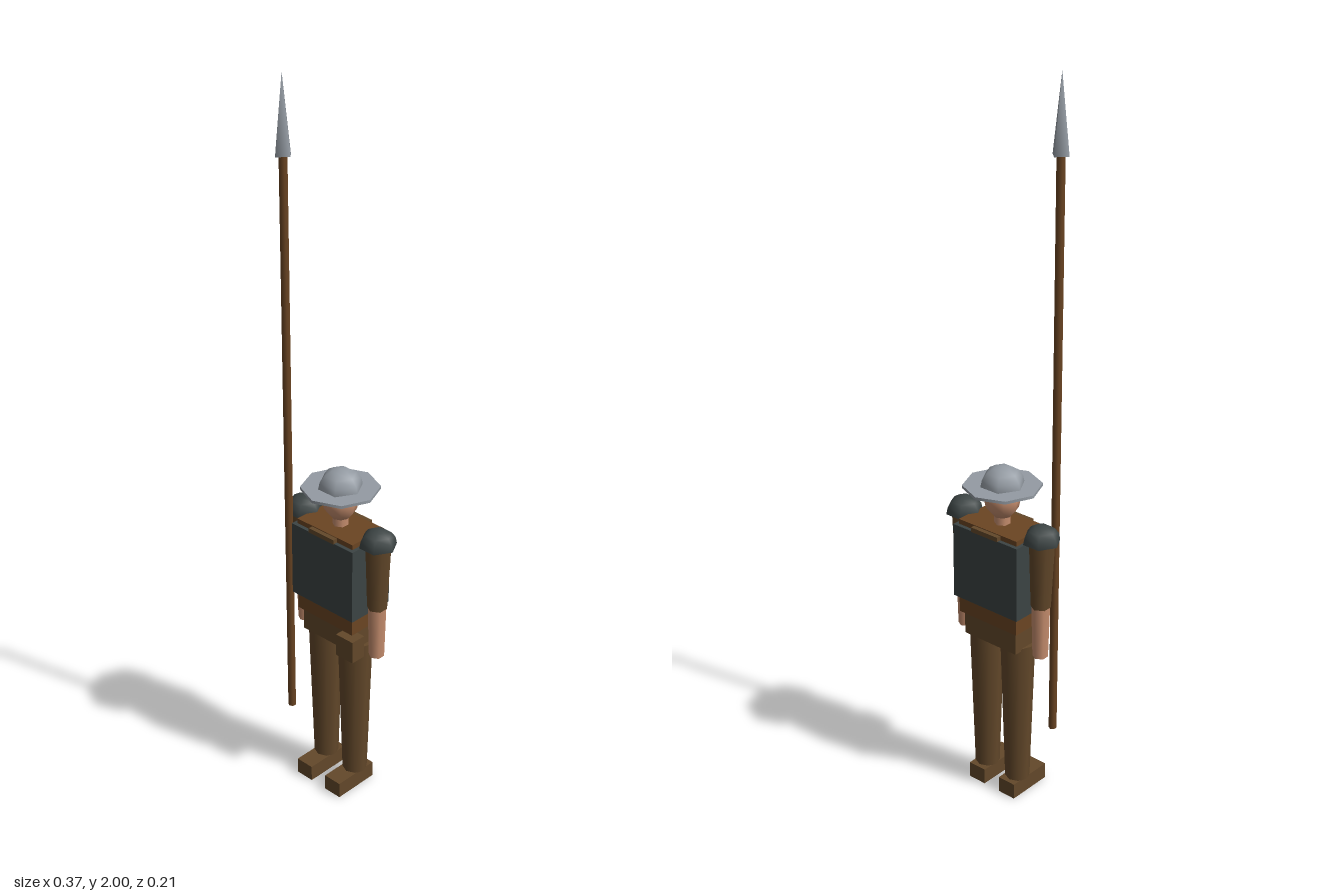
import * as THREE from 'three';

const material = (name, color, side = THREE.FrontSide) => {
  const m = new THREE.MeshStandardMaterial({ color, side });
  m.name = name;
  return m;
};

export function createModel() {
  const model = new THREE.Group();
  model.name = 'spearGuard';

  const leather = material('leather brown', 0x63482a);
  const tunic = material('tunic brown', 0x6b4523);
  const skin = material('skin', 0xc99070);
  const steel = material('steel grey', 0x949ba3, THREE.DoubleSide);
  const armour = material('dark armour', 0x3c4444, THREE.DoubleSide);

  const add = (name, geometry, mat, x, y, z) => {
    const mesh = new THREE.Mesh(geometry, mat);
    mesh.name = name;
    mesh.position.set(x, y, z);
    model.add(mesh);
    return mesh;
  };
  // Box given by its centre in x and z and its bottom and top heights
  const box = (name, mat, w, d, y0, y1, x = 0, z = 0) =>
    add(name, new THREE.BoxGeometry(w, y1 - y0, d), mat, x, (y0 + y1) / 2, z);
  // Upright tapered cylinder between two heights
  const limb = (name, mat, rTop, rBottom, y0, y1, sides, x = 0, z = 0) =>
    add(name, new THREE.CylinderGeometry(rTop, rBottom, y1 - y0, sides), mat, x, (y0 + y1) / 2, z);
  // Six-sided half ball standing on height y
  const dome = (name, mat, r, height, x, y) => {
    const g = new THREE.SphereGeometry(r, 6, 4, 0, Math.PI * 2, 0, Math.PI / 2);
    add(name, g, mat, x, y, 0).scale.y = height / r;
  };

  // Body
  box('torso', tunic, 0.2, 0.12, 0.535, 0.812);
  box('breastplate', armour, 0.22, 0.142, 0.585, 0.798);
  box('collarStrap', leather, 0.09, 0.146, 0.797, 0.81);
  box('hips', leather, 0.18, 0.1, 0.468, 0.535);
  box('beltPouch', leather, 0.06, 0.045, 0.46, 0.525, 0.085, 0.052);

  // Head and brimmed helmet
  limb('neck', skin, 0.022, 0.022, 0.8, 0.85, 6);
  add('head', new THREE.SphereGeometry(0.05, 8, 6), skin, 0, 0.887, 0).scale.y = 1.2;
  limb('helmetBrim', steel, 0.105, 0.105, 0.915, 0.923, 8);
  dome('helmetDome', steel, 0.061, 0.055, 0, 0.92);

  // Arms, shoulder guards, legs and boots, mirrored
  for (const [side, s] of [['left', 1], ['right', -1]]) {
    dome(side + 'ShoulderGuard', armour, 0.051, 0.048, s * 0.134, 0.8);
    limb(side + 'Sleeve', leather, 0.036, 0.027, 0.61, 0.805, 6, s * 0.133);
    limb(side + 'Forearm', skin, 0.025, 0.021, 0.46, 0.61, 6, s * 0.133);
    limb(side + 'Leg', leather, 0.047, 0.034, 0.045, 0.475, 8, s * 0.055);
    box(side + 'Boot', leather, 0.055, 0.135, 0, 0.046, s * 0.054, 0.022);
  }

  // Spear
  limb('spearShaft', tunic, 0.011, 0.011, 0.2, 1.8, 6, -0.127, 0.064);
  add('spearTip', new THREE.ConeGeometry(0.026, 0.2, 4), steel, -0.127, 1.895, 0.064);

  return model;
}
